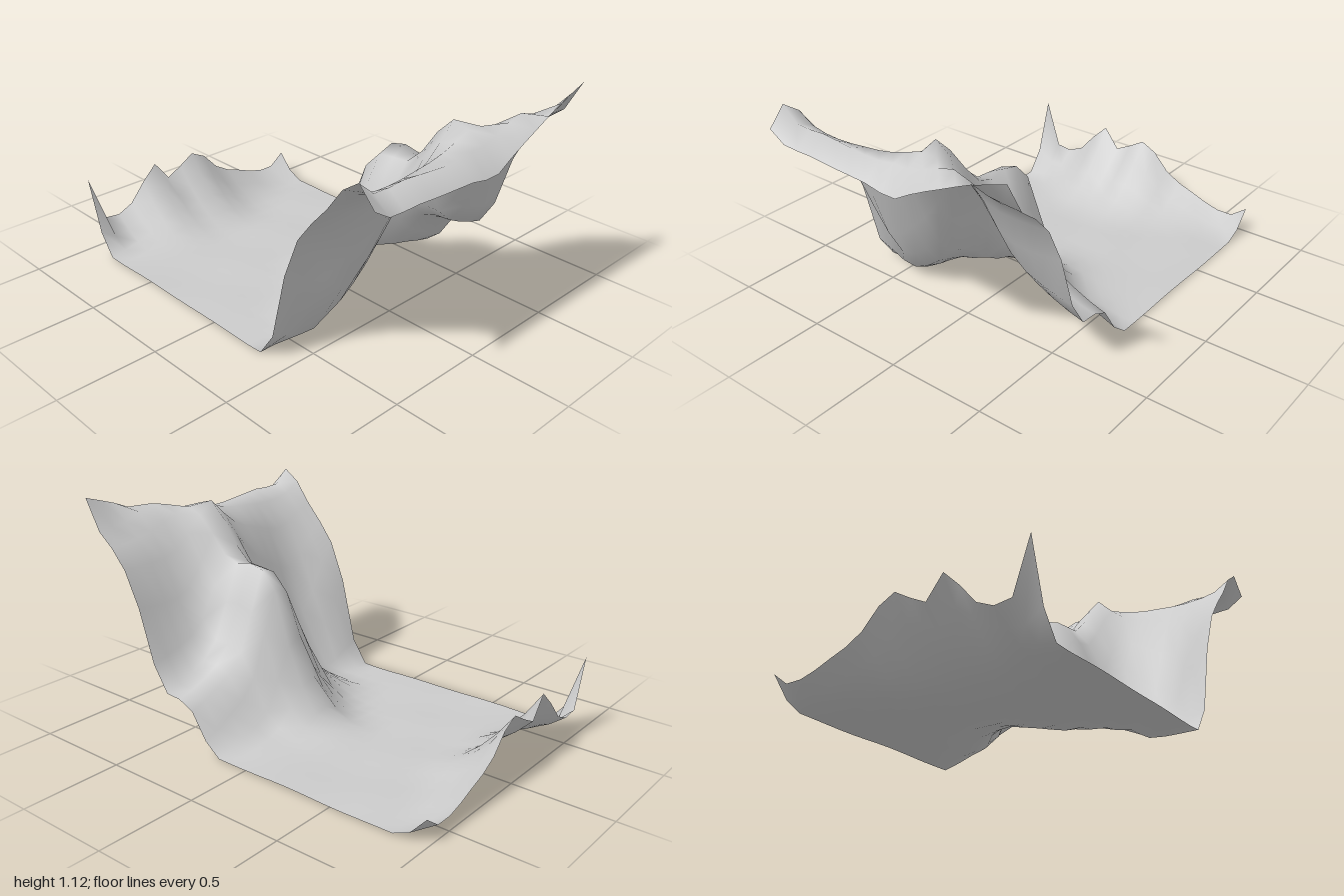
import * as THREE from 'three';

// Hillside cross-sections: heights at the columns X, one row for each station in Z
const X = [-0.25, 0, 0.17, 0.25, 0.33, 0.42, 0.5, 0.58, 0.67, 0.75, 0.83, 0.92, 1];
const Z = [-0.667, -0.5, -0.333, -0.167, -0.083, 0, 0.083, 0.167, 0.417, 0.583, 0.667];
const HILL = [
  [0, 0, 0, 0.065, 0.19, 0.235, 0.24, 0.36, 0.64, 0.8, 0.89, 0.965, 1.115],
  [0, 0.01, 0.05, 0.14, 0.25, 0.28, 0.29, 0.4, 0.62, 0.8, 0.9, 0.98, 1.06],
  [0, 0.02, 0.12, 0.27, 0.38, 0.41, 0.41, 0.5, 0.67, 0.83, 0.95, 1.035, 0.98],
  [0, 0.09, 0.41, 0.68, 0.765, 0.785, 0.765, 0.79, 0.89, 0.97, 1.0, 0.98, 0.905],
  [0, 0.105, 0.45, 0.65, 0.735, 0.745, 0.75, 0.82, 0.95, 1.03, 1.01, 0.96, 0.86],
  [0, 0.06, 0.27, 0.47, 0.6, 0.63, 0.65, 0.74, 0.86, 0.95, 0.98, 0.96, 0.86],
  [0, 0.02, 0.16, 0.31, 0.41, 0.43, 0.48, 0.6, 0.76, 0.88, 0.95, 0.945, 0.875],
  [0, 0, 0.08, 0.16, 0.21, 0.24, 0.33, 0.49, 0.69, 0.84, 0.93, 0.945, 0.88],
  [0, 0, 0, 0, 0.005, 0.05, 0.18, 0.32, 0.58, 0.78, 0.91, 0.97, 0.895],
  [0, 0, 0, 0, 0, 0.1, 0.38, 0.58, 0.73, 0.84, 0.93, 0.965, 0.895],
  [0, 0, 0, 0, 0, 0.13, 0.46, 0.66, 0.78, 0.87, 0.98, 1.04, 0.95],
];

// Crags along the low edge, evenly spaced from back to front
const CRAGS = [0.13, 0.07, 0.07, 0.09, 0.12, 0.15, 0.2, 0.29, 0.33, 0.28, 0.24, 0.35, 0.27, 0.17, 0.13, 0.14, 0.39];

// Smooth curve through the points (xs, ys), held level beyond both ends
function curveAt(xs, ys, x) {
  const n = xs.length - 1;
  if (x <= xs[0]) return ys[0];
  if (x >= xs[n]) return ys[n];
  let i = 0;
  while (x > xs[i + 1]) i++;
  const slope = (k) => {
    const a = Math.max(k - 1, 0), b = Math.min(k + 1, n);
    return (ys[b] - ys[a]) / (xs[b] - xs[a]);
  };
  const d = xs[i + 1] - xs[i], t = (x - xs[i]) / d, t2 = t * t, t3 = t2 * t;
  return (2 * t3 - 3 * t2 + 1) * ys[i] + (t3 - 2 * t2 + t) * d * slope(i)
    + (3 * t2 - 2 * t3) * ys[i + 1] + (t3 - t2) * d * slope(i + 1);
}

function heightAt(x, z, row) {
  const hill = curveAt(Z, HILL.map((heights) => curveAt(X, heights, x)), z);
  // Crags reach far inland mid-edge and drop off quickly near the corners
  const reach = 0.45 - 0.27 * Math.min(1, Math.abs(z - 0.1) / 0.57) ** 2;
  const crag = CRAGS[row] * Math.max(0, 1 - (x + 1) / reach) ** 2;
  const ripple = 0.004 * (1 + Math.sin(9 * x + 4 * z) * Math.cos(11 * z - 3 * x));
  return Math.max(0, hill) + crag + ripple;
}

export function createModel() {
  const group = new THREE.Group();
  group.name = 'landscape';

  // Terrain sheet: a regular grid raised by the height rule
  const columns = 24, rows = 16;
  const geometry = new THREE.PlaneGeometry(2, 4 / 3, columns, rows).rotateX(-Math.PI / 2);
  const pos = geometry.attributes.position;
  for (let i = 0; i < pos.count; i++) {
    const row = Math.floor(i / (columns + 1));
    pos.setY(i, heightAt(pos.getX(i), pos.getZ(i), row));
  }
  geometry.computeBoundingBox();
  geometry.translate(0, -geometry.boundingBox.min.y, 0);
  geometry.computeVertexNormals();

  const terrain = new THREE.Mesh(
    geometry,
    new THREE.MeshStandardMaterial({ color: 0xcccccc, side: THREE.DoubleSide })
  );
  terrain.name = 'terrain';
  group.add(terrain);
  return group;
}
